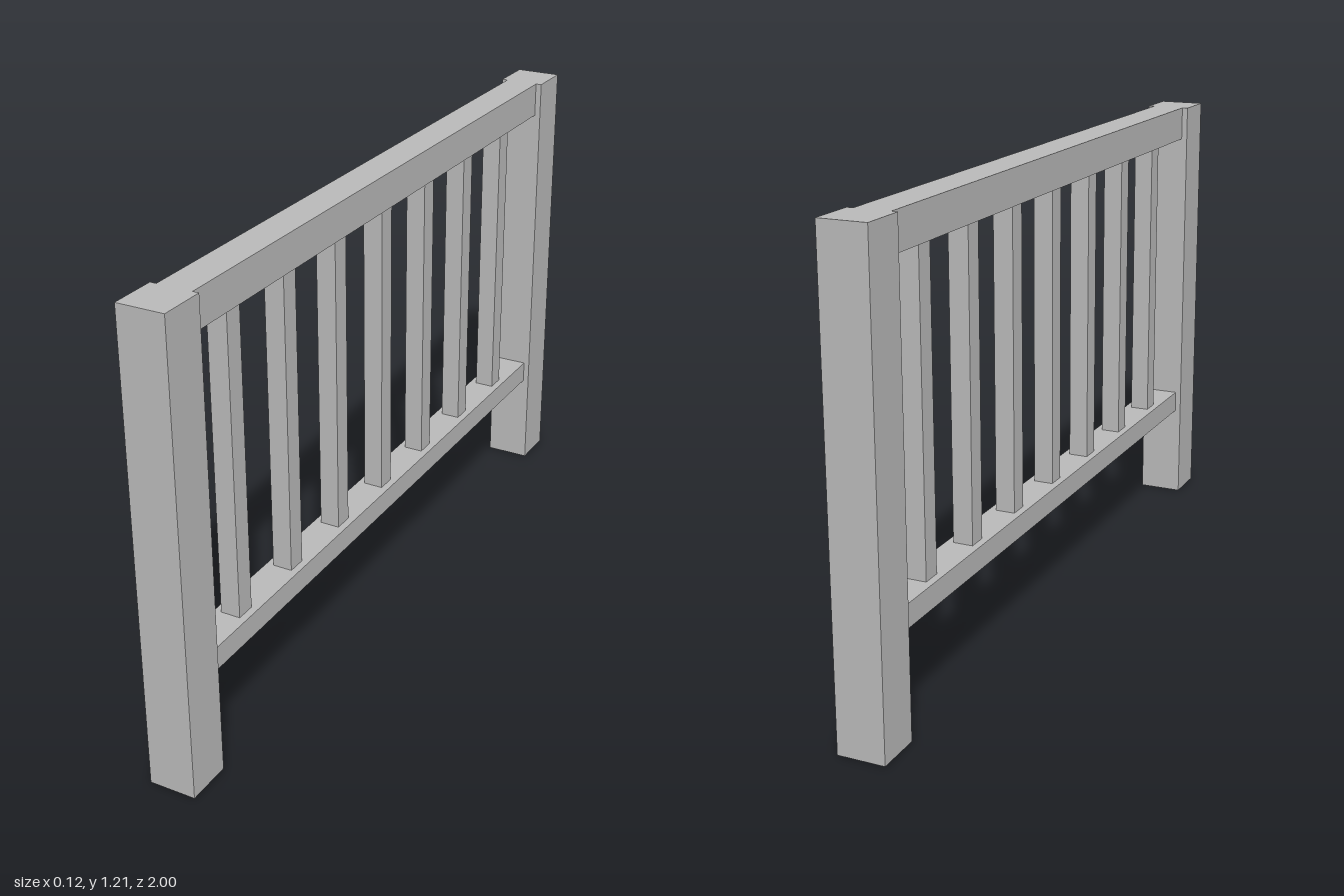
import * as THREE from 'three';

export function createModel() {
  const group = new THREE.Group();
  const paint = new THREE.MeshStandardMaterial({ color: 0xb8b8b8 });
  paint.name = 'greyPaint';

  // Box spanning y0 to y1, centred on x = 0
  function bar(name, width, y0, y1, depth, z) {
    const mesh = new THREE.Mesh(new THREE.BoxGeometry(width, y1 - y0, depth), paint);
    mesh.name = name;
    mesh.position.set(0, (y0 + y1) / 2, z);
    group.add(mesh);
  }

  // End posts
  const height = 1.213, post = 0.122;
  bar('frontPost', post, 0, height, post, 1 - post / 2);
  bar('backPost', post, 0, height, post, -1 + post / 2);

  // Rails between the posts
  const span = 2 - 2 * post;
  bar('topRail', 0.09, 1.12, height, span, 0);
  bar('bottomRail', 0.09, 0.265, 0.325, span, 0);

  // Evenly spaced balusters
  for (let i = -3; i <= 3; i++) {
    bar('baluster' + (i + 4), 0.052, 0.325, 1.12, 0.052, i * 0.235);
  }
  return group;
}
